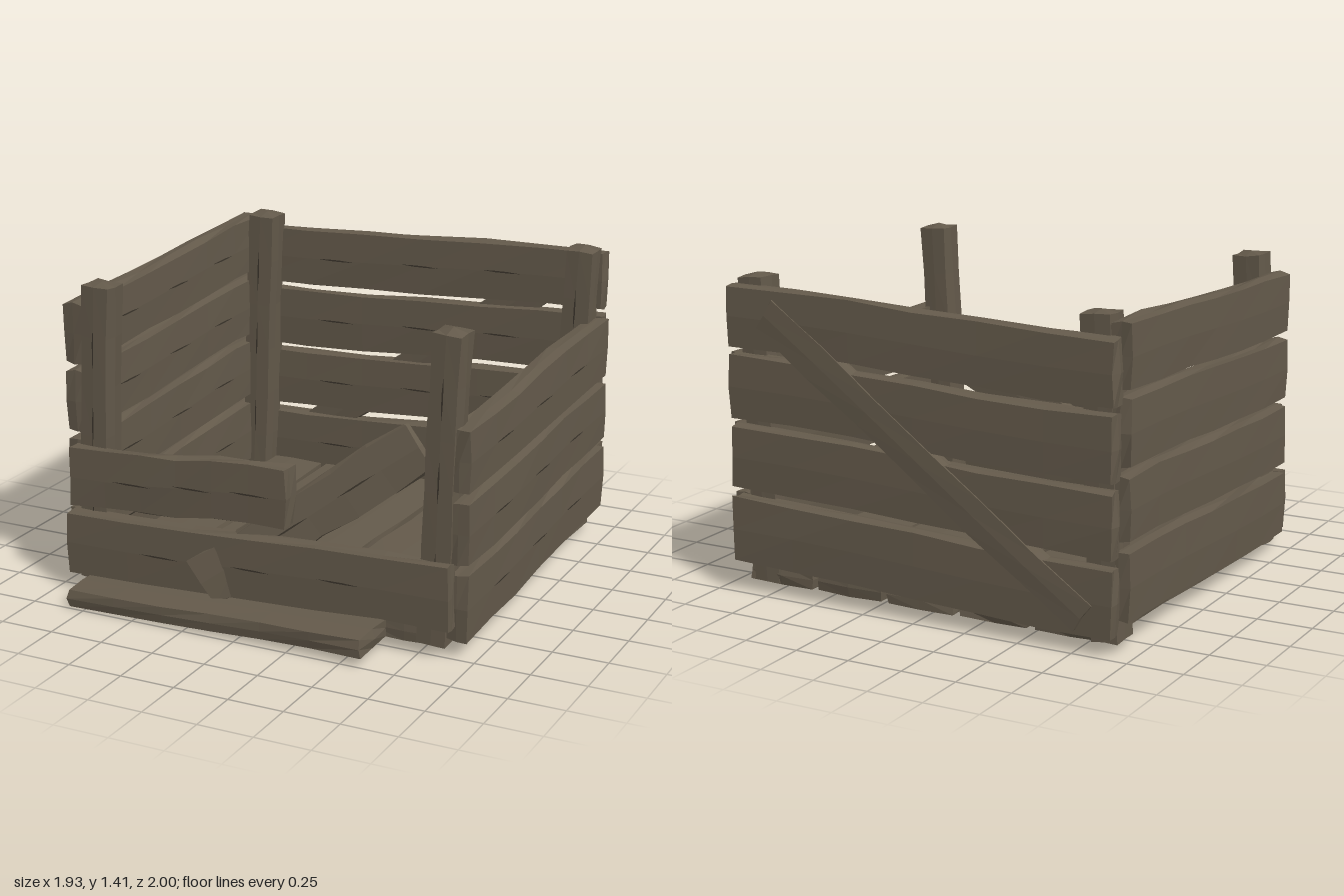
import * as THREE from 'three';

const wood = new THREE.MeshStandardMaterial({ color: 0x645a4b, flatShading: true });
wood.name = 'weathered wood';
const crackWood = new THREE.MeshStandardMaterial({ color: 0x3a342b, side: THREE.DoubleSide });
crackWood.name = 'dark crack';

const V = (x, y, z) => new THREE.Vector3(x, y, z);
const RIGHT = V(1, 0, 0), UP = V(0, 1, 0), BACK = V(0, 0, -1);

// Repeatable wobble in -1..1 that depends only on position and seed
const wobble = (a, b, c, seed) => {
  const s = Math.sin(a * 12.99 + b * 78.23 + c * 37.72 + seed * 4.13) * 43758.55;
  return (s - Math.floor(s)) * 2 - 1;
};

// Hand-cut board. Local x = length, y = width, z = thickness.
// rise: how far the far end drifts along the width; bow: gentle S-wave.
function board(name, centre, along, across, size, o = {}) {
  const { rise = 0, bow = 0.01, seed = 1, cracks = [-0.45, 0, 0.42], peak = 0.008, rough = 0.007 } = o;
  const [L, W, T] = size;
  const group = new THREE.Group();
  group.name = name;
  const drift = x => rise * x / L + bow * Math.sin((x / L) * 5.2);
  const geo = new THREE.BoxGeometry(L, W, T, 6, 2, 2);
  const p = geo.attributes.position;
  for (let i = 0; i < p.count; i++) {
    let x = p.getX(i), y = p.getY(i), z = p.getZ(i);
    const w = k => wobble(Math.round(x * 50), Math.round(y * 50), Math.round(z * 50), seed + k) * rough;
    const end = Math.abs(x) > L * 0.49, edgeY = Math.abs(y) > W * 0.4, edgeZ = Math.abs(z) > T * 0.4;
    const jx = end ? w(1) : 0, jy = edgeY ? w(2) : 0;
    const jz = edgeY && edgeZ ? -Math.sign(z) * (0.002 + Math.abs(w(3)) * 0.5) : 0;
    // worn corners and slightly pointed end grain
    if (edgeY && edgeZ) y -= Math.sign(y) * 0.004;
    if (end && !edgeY && !edgeZ) x += Math.sign(x) * peak;
    p.setXYZ(i, x + jx, y + jy + drift(x), z + jz);
  }
  geo.computeVertexNormals();
  const mesh = new THREE.Mesh(geo, wood);
  mesh.name = name + 'Wood';
  group.add(mesh);

  // thin splits in the grain on one face
  for (const cx of cracks) {
    const h = 0.1, shape = new THREE.Shape();
    shape.moveTo(-h, 0).lineTo(-h * 0.3, -0.004).lineTo(h * 0.4, -0.003).lineTo(h, 0)
      .lineTo(h * 0.3, 0.004).lineTo(-h * 0.4, 0.003).closePath();
    const crack = new THREE.Mesh(new THREE.ShapeGeometry(shape), crackWood);
    crack.name = 'crack';
    crack.position.set(cx, drift(cx), T / 2 + 0.002);
    group.add(crack);
  }

  const X = along.clone().normalize();
  const Z = X.clone().cross(across).normalize();
  const Y = Z.clone().cross(X);
  group.quaternion.setFromRotationMatrix(new THREE.Matrix4().makeBasis(X, Y, Z));
  group.position.copy(centre);
  return group;
}

export function createModel() {
  const crate = new THREE.Group();
  crate.name = 'brokenCrate';
  let seed = 1;
  const add = (name, c, along, across, size, o) =>
    crate.add(board(name, c, along, across, size, { seed: seed++, ...o }));

  // Wall boards: centre height and width of the four rows
  const rows = [[0.263, 0.295], [0.59, 0.28], [0.905, 0.28], [1.215, 0.275]];
  rows.forEach(([y, w], i) => {
    add('backBoard', V(0, y, -0.945), RIGHT, UP, [1.84, w, 0.09], { rise: 0.05 });
    add('rightBoard', V(-0.918, y, -0.09), BACK, UP, [1.64, w, 0.1], { rise: 0.05 });
    if (i < 3) add('leftBoard', V(0.91, y, -0.09), BACK, UP, [1.64, w, 0.1], { rise: 0.05 });
  });

  // Front: one whole board and one snapped short
  add('frontBoard', V(-0.02, 0.265, 0.767), RIGHT, UP, [1.84, 0.285, 0.088], { rise: 0.045 });
  add('frontBrokenBoard', V(-0.38, 0.58, 0.767), RIGHT, UP, [1.07, 0.27, 0.088],
    { rise: 0.055, cracks: [-0.22, 0.08, 0.36], rough: 0.01 });

  // Floor boards
  [-0.72, -0.365, -0.005, 0.35, 0.7].forEach(x =>
    add('floorBoard', V(x, 0.09, -0.09), BACK, RIGHT, [1.64, 0.33, 0.09], { rise: 0.04 }));

  // Corner posts, leaning slightly
  for (const z of [0.672, -0.85]) {
    for (const [x0, x1] of [[-0.86, -0.8], [0.795, 0.85]]) {
      const a = V(x0, 0.05, z), b = V(x1, 1.405, z);
      add('cornerPost', a.clone().lerp(b, 0.5), b.clone().sub(a), V(-1, 0, 0),
        [1.355, 0.135, 0.14], { bow: 0.004, peak: 0.014, rough: 0.005, cracks: [-0.35, 0.05, 0.4] });
    }
  }

  // Diagonal brace across the back, nearly flush with the boards
  add('backBrace', V(-0.03, 0.715, -0.964), V(1.6, 1.16, 0), V(-0.6, 0.8, 0),
    [1.88, 0.16, 0.065], { bow: 0.004, cracks: [] });

  // Snapped front board hanging inward
  const low = V(-0.25, 0.175, 0.81), high = V(0.63, 0.83, 0.5);
  add('hangingBoard', low.clone().lerp(high, 0.5), high.clone().sub(low), V(-0.6, 0.8, 0.1),
    [low.distanceTo(high), 0.23, 0.07], { bow: 0.004, cracks: [-0.1, 0.25], rough: 0.012, peak: 0.02 });

  // Fallen board on the ground, one end propped up
  add('fallenBoard', V(-0.12, 0.072, 0.865), V(1.42, 0.035, 0), BACK, [1.42, 0.26, 0.085],
    { rise: -0.01, bow: 0.008, cracks: [] });

  return crate;
}
